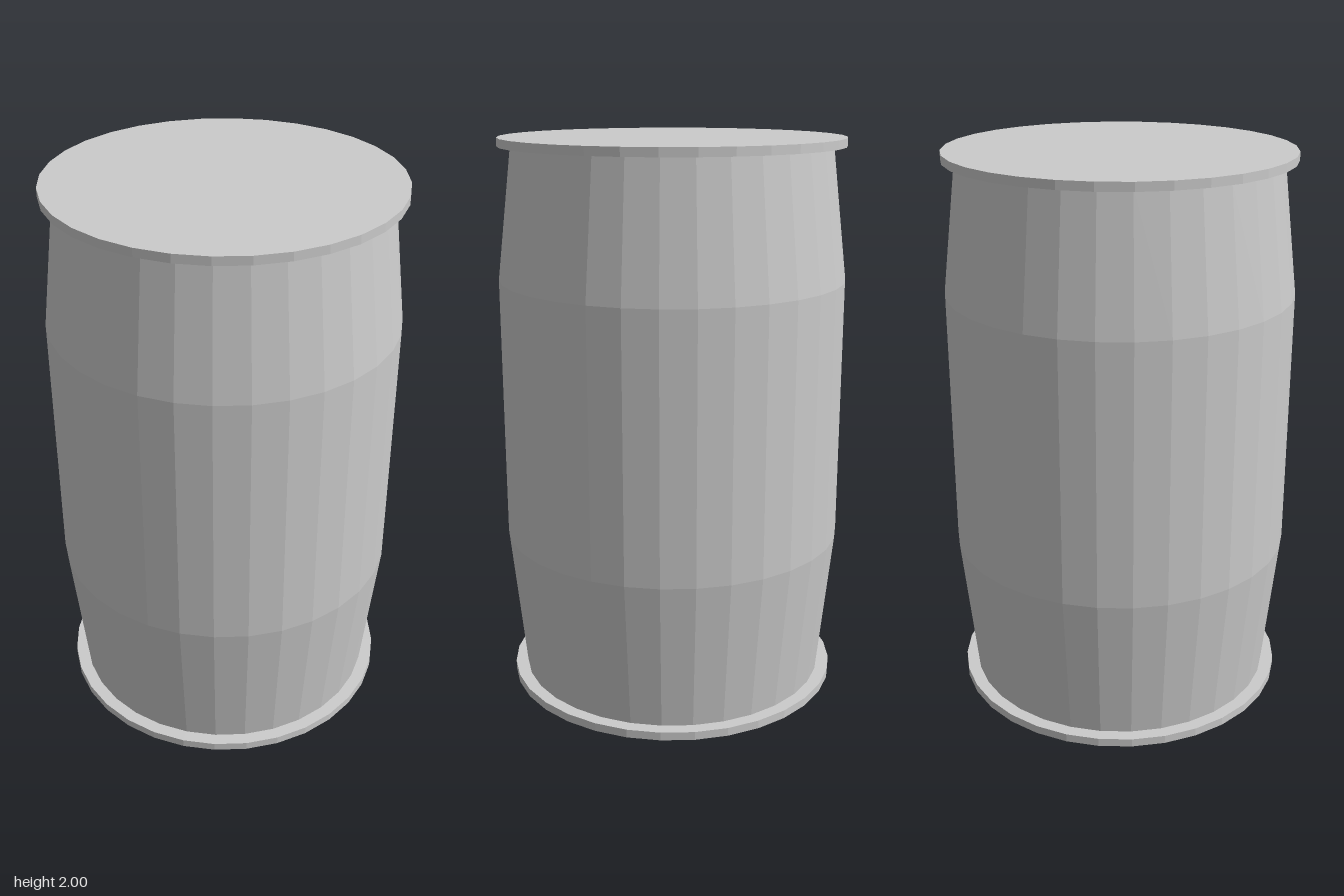
import * as THREE from 'three';

const SIDES = 32;

export function createModel() {
  const group = new THREE.Group();
  const material = new THREE.MeshStandardMaterial({ color: 0xcccccc, flatShading: true });

  const add = (name, geometry, y = 0) => {
    const mesh = new THREE.Mesh(geometry, material);
    mesh.name = name;
    mesh.position.y = y;
    group.add(mesh);
  };

  // Barrel body: straight middle, tapering to both ends
  const profile = [[0.56, 0.03], [0.615, 0.57], [0.615, 1.51], [0.56, 1.97]];
  add('barrelBody', new THREE.LatheGeometry(profile.map(([r, y]) => new THREE.Vector2(r, y)), SIDES));

  // Overhanging end discs
  const disc = new THREE.CylinderGeometry(0.606, 0.606, 0.03, SIDES);
  add('bottomDisc', disc, 0.015);
  add('topLid', disc, 1.985);

  return group;
}
